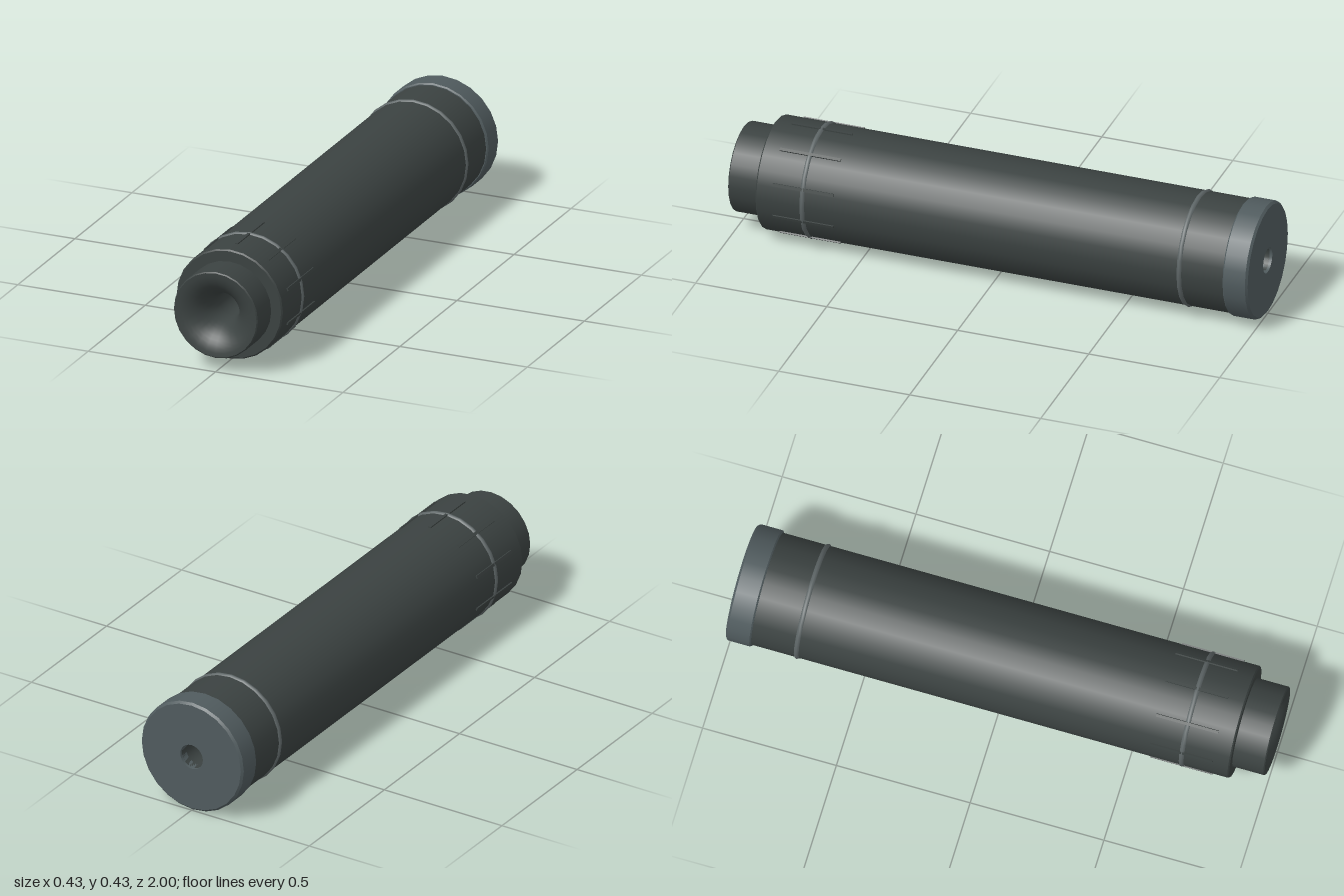
import * as THREE from 'three';

const SIDES = 24;
const BORE = 0.048;
const AXIS_Y = 0.217;

// Lathe about the z axis with crisp profile corners; profile is a list of [radius, z] running front to back on the outside
function turned(name, profile, material, smooth = false) {
  const group = new THREE.Group();
  group.name = name;
  const runs = smooth ? [profile] : profile.slice(1).map((p, i) => [profile[i], p]);
  for (const run of runs) {
    const points = run.map(([r, z]) => new THREE.Vector2(r, z));
    const geometry = new THREE.LatheGeometry(points, SIDES);
    geometry.rotateX(Math.PI / 2);
    const mesh = new THREE.Mesh(geometry, material);
    mesh.name = name + 'Surface';
    group.add(mesh);
  }
  return group;
}

export function createModel() {
  const model = new THREE.Group();
  model.name = 'tube';
  const assembly = new THREE.Group();
  assembly.name = 'assembly';
  assembly.position.y = AXIS_Y;
  model.add(assembly);

  const makeMaterial = (name, color) => {
    const m = new THREE.MeshStandardMaterial({ color, side: THREE.DoubleSide });
    m.name = name;
    return m;
  };
  const dark = makeMaterial('dark gunmetal', 0x3b4241);
  const grey = makeMaterial('cap grey', 0x505b5e);
  const ringGrey = makeMaterial('ring grey', 0x5c6465);

  // Main barrel with small bevels
  assembly.add(turned('body', [
    [0.16, 0.88], [0.204, 0.88], [0.209, 0.875], [0.209, -0.91],
  ].reverse(), dark));

  // Narrower front collar
  assembly.add(turned('nozzle', [
    [0.161, 1], [0.165, 0.996], [0.165, 0.87],
  ].reverse(), dark));

  // Flared mouth curving into the bore
  const flare = [];
  for (let i = 0; i <= 12; i++) {
    const a = (i / 12) * Math.PI / 2;
    flare.push([0.161 - (0.161 - BORE) * Math.sin(a), 1 - 0.14 * (1 - Math.cos(a))]);
  }
  assembly.add(turned('mouth', flare, dark, true));

  // Through bore
  assembly.add(turned('bore', [[BORE, 0.86], [BORE, -0.99]], dark));

  // Rear cap
  assembly.add(turned('rearCap', [
    [0.2, -0.905], [0.212, -0.905], [0.217, -0.91], [0.217, -0.992],
    [0.209, -1], [BORE, -1], [BORE, -0.96],
  ].reverse(), grey));

  // Thin raised bands
  for (const [name, z] of [['frontRing', 0.702], ['rearRing', -0.737]]) {
    const ring = new THREE.Mesh(new THREE.TorusGeometry(0.204, 0.011, 8, SIDES), ringGrey);
    ring.name = name;
    ring.position.z = z;
    assembly.add(ring);
  }

  // Ten grip ribs around the front
  for (let i = 0; i < 10; i++) {
    const a = (i / 10) * Math.PI * 2;
    const rib = new THREE.Mesh(new THREE.BoxGeometry(0.011, 0.02, 0.232), dark);
    rib.name = 'gripRib';
    rib.position.set(Math.sin(a) * 0.203, Math.cos(a) * 0.203, 0.7);
    rib.rotation.z = -a;
    assembly.add(rib);
  }

  return model;
}
